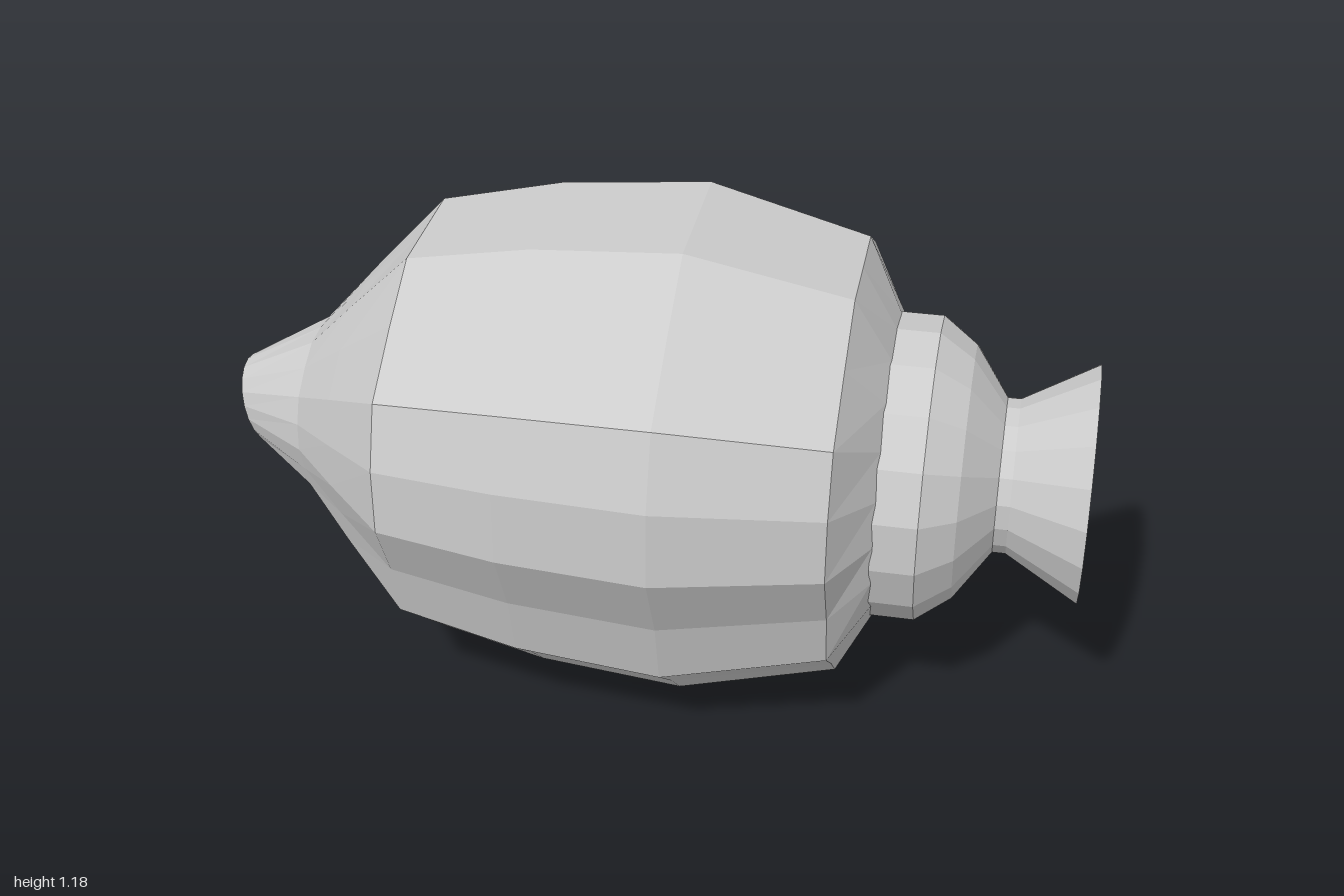
import * as THREE from 'three';

const AXIS_Y = 0.59;

// Skin a list of rings (each an array of [x, y, z] points) laid along the x axis.
function loft(rings, name) {
  const n = rings[0].length;
  const index = [];
  for (let i = 0; i < rings.length - 1; i++) {
    for (let j = 0; j < n; j++) {
      const a = i * n + j, b = i * n + (j + 1) % n;
      index.push(a, b, a + n, b, b + n, a + n);
    }
  }
  const geometry = new THREE.BufferGeometry();
  geometry.setAttribute('position', new THREE.Float32BufferAttribute(rings.flat(2), 3));
  geometry.setIndex(index);
  geometry.computeVertexNormals();
  const mesh = new THREE.Mesh(geometry, new THREE.MeshStandardMaterial({ color: 0xcccccc, flatShading: true }));
  mesh.name = name;
  return mesh;
}

// Half of the body section as [z, y], from top to bottom, for a radius of 1.
const HALF = [[0, 1], [0.305, 1], [0.6, 0.82], [0.905, 0.605], [1, 0.315], [1, 0],
  [0.835, -0.315], [0.75, -0.605], [0.495, -0.82], [0.305, -1], [0, -1]];
const SECTION = [...HALF, ...HALF.slice(1, -1).reverse().map(([z, y]) => [-z, y])];

// Body ring: the section blended towards a circle, with an optional slant.
function bodyRing([x, r, round, slant = 0]) {
  return SECTION.map(([z, y], i) => {
    const a = i / SECTION.length * Math.PI * 2;
    const dy = r * THREE.MathUtils.lerp(y, Math.cos(a), round);
    const dz = r * THREE.MathUtils.lerp(z, Math.sin(a), round);
    return [x - slant * dy, AXIS_Y + dy, dz];
  });
}

function circleRing([x, r], sides = 18) {
  return Array.from({ length: sides }, (_, i) => {
    const a = i / sides * Math.PI * 2;
    return [x, AXIS_Y + r * Math.cos(a), r * Math.sin(a)];
  });
}

export function createModel() {
  const model = new THREE.Group();

  // Faceted body: slanted tip, swelling middle, bevelled shoulder
  model.add(loft([
    [-0.973, 0, 1], [-0.973, 0.104, 1, 0.27], [-0.81, 0.21, 0.5], [-0.69, 0.34, 0.2],
    [-0.535, 0.5, 0], [-0.25, 0.56, 0], [0.09, 0.588, 0], [0.46, 0.5, 0],
    [0.545, 0.35, 1], [0.545, 0, 1],
  ].map(bodyRing), 'body'));

  // Collar, neck and hollow flared mouth
  model.add(loft([
    [0.54, 0], [0.54, 0.354], [0.64, 0.354], [0.72, 0.295], [0.8, 0.18], [0.83, 0.18],
    [1, 0.276], [1, 0.226], [0.84, 0.13], [0.75, 0.12], [0.75, 0],
  ].map((p) => circleRing(p)), 'neckAndMouth'));

  return model;
}
